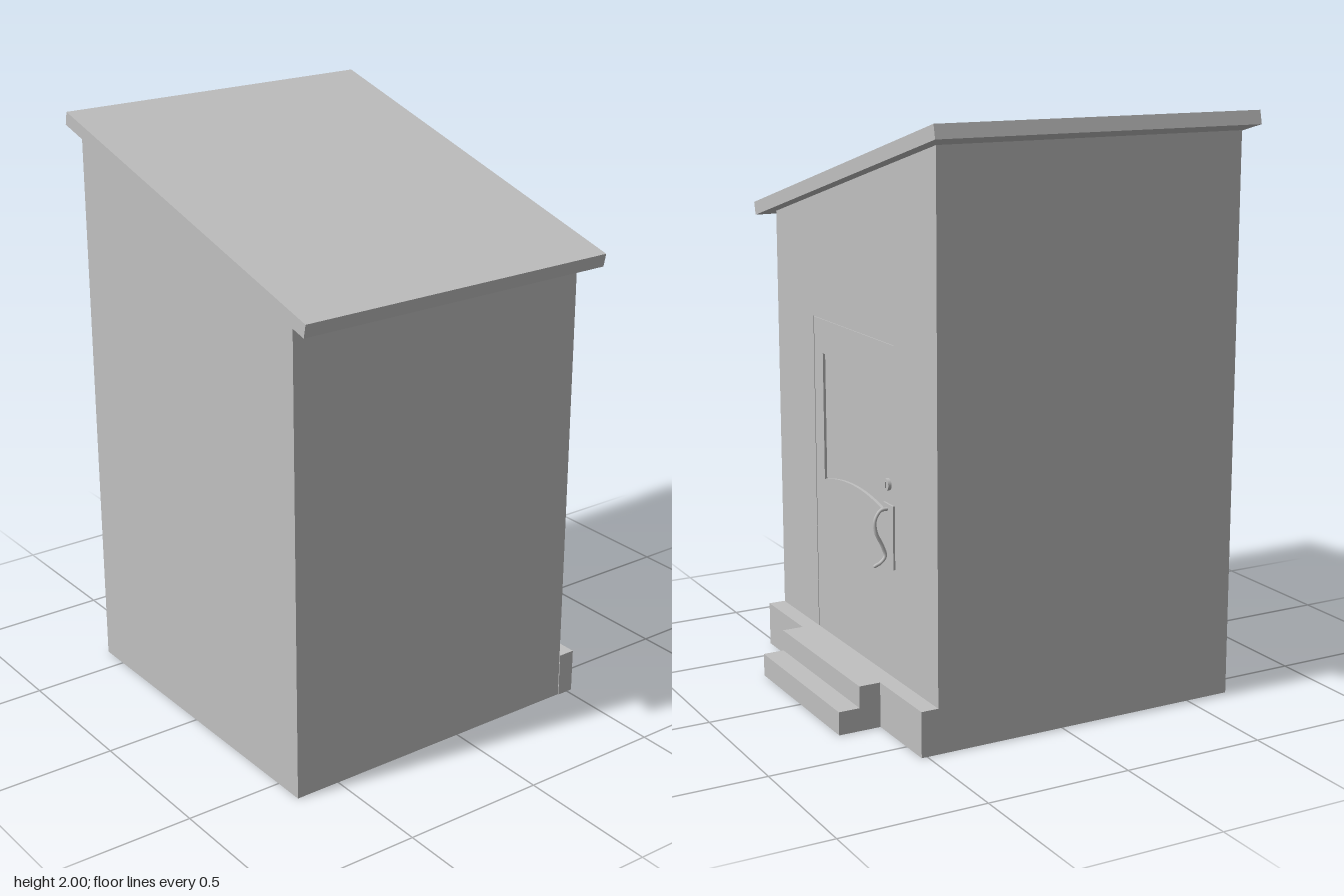
import * as THREE from 'three';

export function createModel() {
  const model = new THREE.Group();
  model.name = 'shed';
  const grey = new THREE.MeshStandardMaterial({ color: 0xc0c0c0 });
  grey.name = 'plain grey';

  const add = (name, geometry, parent = model) => {
    const mesh = new THREE.Mesh(geometry, grey);
    mesh.name = name;
    parent.add(mesh);
    return mesh;
  };

  const polygon = (points, Type = THREE.Shape) => new Type(points.map(([x, y]) => new THREE.Vector2(x, y)));

  // Extrudes a shape drawn in x and y between two z positions
  const slab = (shape, z0, z1) =>
    new THREE.ExtrudeGeometry(shape, { depth: z1 - z0, bevelEnabled: false, curveSegments: 12 }).translate(0, 0, z0);

  // Box given by its limits
  const block = (x0, x1, y0, y1, z0, z1) =>
    new THREE.BoxGeometry(x1 - x0, y1 - y0, z1 - z0).translate((x0 + x1) / 2, (y0 + y1) / 2, (z0 + z1) / 2);

  // Walls: a sloped-top block with a thin rear skin cut out for the door
  const outline = [[-0.605, 0], [0.61, 0], [0.61, 1.605], [-0.605, 1.93]];
  add('walls', slab(polygon(outline), -0.45, 0.66));
  const rearWall = polygon(outline);
  rearWall.holes.push(polygon([[-0.31, 0.15], [-0.31, 1.275], [0.305, 1.275], [0.305, 0.15]], THREE.Path));
  add('rearWall', slab(rearWall, -0.46, -0.45));

  // Sloped roof slab
  add('roof', slab(polygon([[-0.695, 1.955], [0.68, 1.585], [0.69, 1.63], [-0.685, 2]]), -0.51, 0.67));

  // Plinth and two entrance steps
  add('plinth', block(-0.605, 0.613, 0, 0.155, -0.52, -0.46));
  add('upperStep', block(-0.31, 0.315, 0, 0.155, -0.595, -0.52));
  add('lowerStep', block(-0.31, 0.315, 0, 0.08, -0.67, -0.595));

  // Door with an arched-sill window recess
  const door = new THREE.Group();
  door.name = 'door';
  model.add(door);
  const leaf = polygon([[-0.308, 0.15], [0.303, 0.15], [0.303, 1.273], [-0.308, 1.273]]);
  const pane = new THREE.Path();
  pane.moveTo(-0.235, 1.155).lineTo(0.235, 1.155).lineTo(0.235, 0.71);
  pane.quadraticCurveTo(0, 0.775, -0.235, 0.71).lineTo(-0.235, 1.155);
  leaf.holes.push(pane);
  add('doorLeaf', slab(leaf, -0.459, -0.45), door);

  // Curved rail under the window
  const rail = new THREE.Shape();
  rail.moveTo(-0.235, 0.64).quadraticCurveTo(0, 0.705, 0.235, 0.64);
  rail.lineTo(0.235, 0.71).quadraticCurveTo(0, 0.775, -0.235, 0.71).lineTo(-0.235, 0.64);
  add('curvedRail', slab(rail, -0.461, -0.455), door);

  // Lock, handle plate and S-shaped handle
  const lock = add('lock', new THREE.CylinderGeometry(0.02, 0.02, 0.012, 24).rotateX(Math.PI / 2), door);
  lock.position.set(-0.266, 0.81, -0.465);
  add('keyway', block(-0.269, -0.263, 0.8, 0.82, -0.474, -0.47), door);
  add('handlePlate', block(-0.307, -0.235, 0.53, 0.745, -0.466, -0.458), door);
  const path = new THREE.CatmullRomCurve3(
    [[0.728, -0.464], [0.725, -0.49], [0.695, -0.51], [0.655, -0.508], [0.605, -0.485],
      [0.57, -0.475], [0.55, -0.49], [0.54, -0.512]].map(([y, z]) => new THREE.Vector3(-0.266, y, z)));
  add('handle', new THREE.TubeGeometry(path, 40, 0.006, 10), door);
  const tip = add('handleTip', new THREE.SphereGeometry(0.006, 10, 8), door);
  tip.position.set(-0.266, 0.54, -0.512);

  return model;
}
